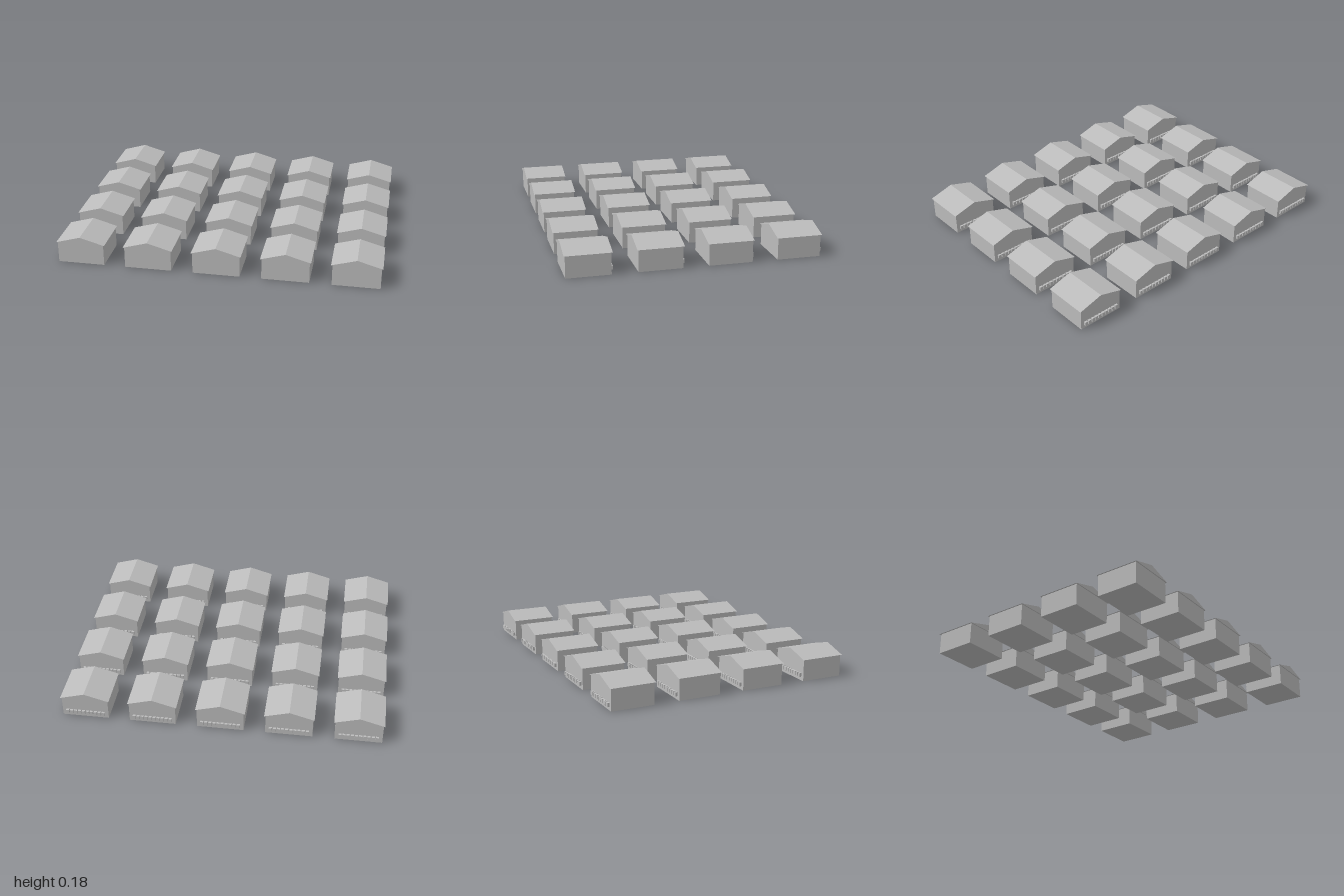
import * as THREE from 'three';

const COLS = 5, ROWS = 4, PITCH = 0.4235;
const WALL = { w: 0.29, h: 0.135, d: 0.267 };
const ROOF = { w: 0.306, rise: 0.044, d: 0.281 };
const BLOCKS = 10, BLOCK_SPAN = 0.252;

export function createModel() {
  const grey = new THREE.MeshStandardMaterial({ color: 0xbcbcbc });
  grey.name = 'plain grey';

  // Shared geometries
  const wallGeo = new THREE.BoxGeometry(WALL.w, WALL.h, WALL.d);
  const gable = new THREE.Shape([
    new THREE.Vector2(-ROOF.w / 2, 0),
    new THREE.Vector2(ROOF.w / 2, 0),
    new THREE.Vector2(0, ROOF.rise),
  ]);
  const roofGeo = new THREE.ExtrudeGeometry(gable, { depth: ROOF.d, bevelEnabled: false });
  roofGeo.translate(0, 0, -ROOF.d / 2);
  const step = BLOCK_SPAN / BLOCKS;
  const blockGeo = new THREE.BoxGeometry(step * 0.75, 0.024, 0.016);

  const part = (geo, name, x, y, z, parent) => {
    const mesh = new THREE.Mesh(geo, grey);
    mesh.name = name;
    mesh.position.set(x, y, z);
    parent.add(mesh);
  };

  // One house: walls, solid gable roof, row of small blocks along the back wall
  const makeHouse = () => {
    const house = new THREE.Group();
    house.name = 'house';
    part(wallGeo, 'walls', 0, WALL.h / 2, 0, house);
    part(roofGeo, 'gableRoof', 0, WALL.h, 0, house);
    const row = new THREE.Group();
    row.name = 'backBlockRow';
    for (let i = 0; i < BLOCKS; i++) {
      part(blockGeo, 'backBlock', (i - (BLOCKS - 1) / 2) * step, 0.034, -WALL.d / 2 - 0.005, row);
    }
    house.add(row);
    return house;
  };

  // Grid of identical houses
  const model = new THREE.Group();
  model.name = 'houseGrid';
  for (let r = 0; r < ROWS; r++) {
    for (let c = 0; c < COLS; c++) {
      const house = makeHouse();
      house.position.set((c - (COLS - 1) / 2) * PITCH, 0, (r - (ROWS - 1) / 2) * PITCH + 0.003);
      model.add(house);
    }
  }
  return model;
}
